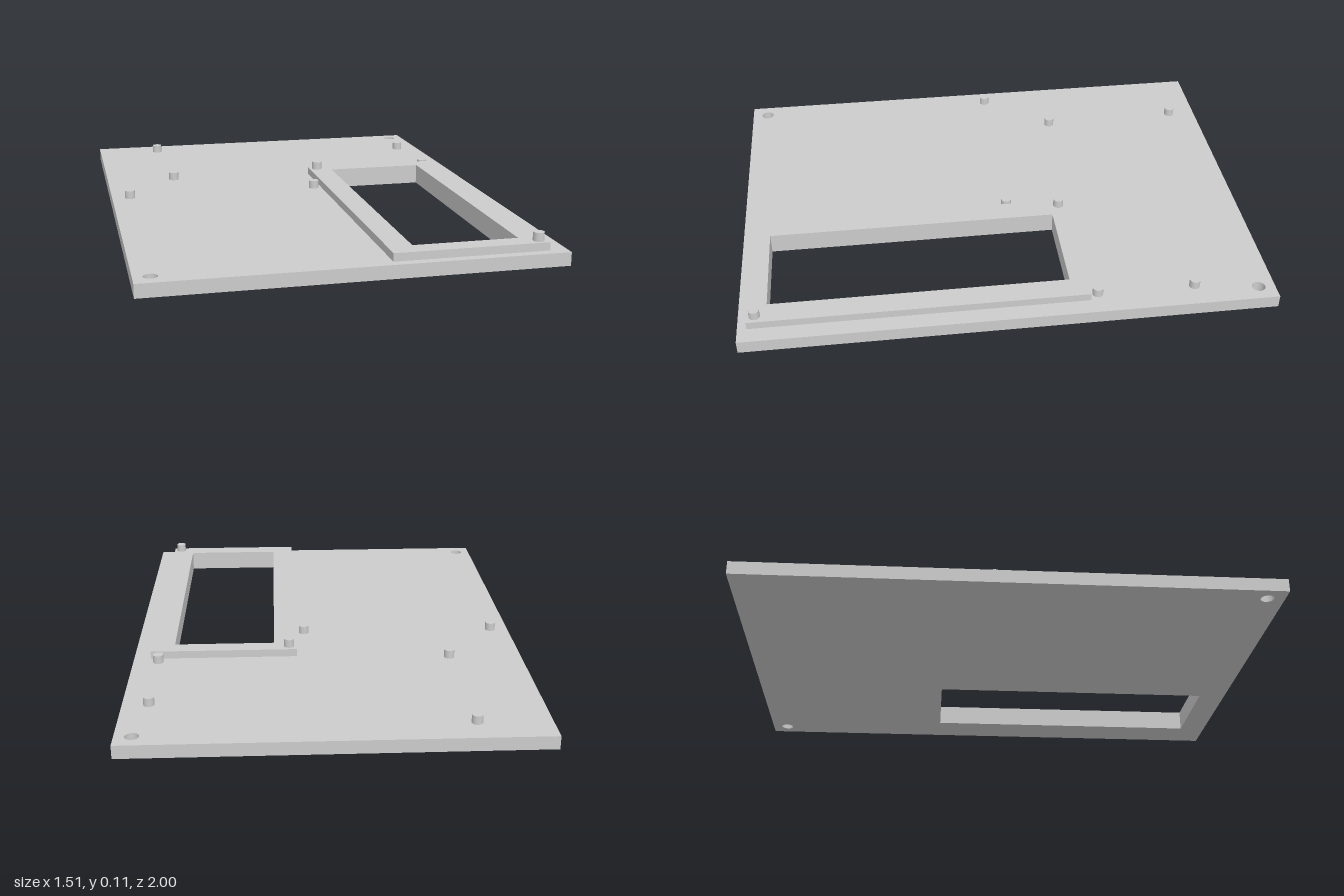
import * as THREE from 'three';

const PLATE_TOP = 0.05, FRAME_TOP = 0.08, PEG_HEIGHT = 0.032, PEG_RADIUS = 0.02;
const material = new THREE.MeshStandardMaterial({ color: 0xcccccc });

// Rectangle in plan; shape y is -z so that it lies flat after rotation
function rect(Type, x0, x1, z0, z1) {
  return new Type([[x0, -z1], [x1, -z1], [x1, -z0], [x0, -z0]].map(([x, y]) => new THREE.Vector2(x, y)));
}

function slab(name, shape, bottom, top) {
  const geometry = new THREE.ExtrudeGeometry(shape, { depth: top - bottom, bevelEnabled: false, curveSegments: 16 });
  geometry.rotateX(-Math.PI / 2);
  const mesh = new THREE.Mesh(geometry, material);
  mesh.name = name;
  mesh.position.y = bottom;
  return mesh;
}

function peg(name, x, z, base) {
  const mesh = new THREE.Mesh(new THREE.CylinderGeometry(PEG_RADIUS, PEG_RADIUS, PEG_HEIGHT, 32), material);
  mesh.name = name;
  mesh.position.set(x, base + PEG_HEIGHT / 2, z);
  return mesh;
}

export function createModel() {
  const group = new THREE.Group();
  group.name = 'mountingPanel';
  const windowHole = () => rect(THREE.Path, 0.21, 0.6, -0.23, 0.893);

  // Base plate with window and two corner screw holes
  const plate = rect(THREE.Shape, -0.755, 0.755, -1, 1);
  plate.holes.push(windowHole());
  for (const [x, z] of [[0.692, -0.937], [-0.695, 0.935]]) {
    plate.holes.push(new THREE.Path().absarc(x, -z, 0.025, 0, Math.PI * 2, true));
  }
  group.add(slab('basePlate', plate, 0, PLATE_TOP));

  // Raised frame around the window
  const frame = rect(THREE.Shape, 0.12, 0.69, -0.297, 0.966);
  frame.holes.push(windowHole());
  group.add(slab('windowFrame', frame, PLATE_TOP, FRAME_TOP));

  // Locating pegs on the plate
  [[-0.489, -0.886], [0.658, -0.698], [-0.473, -0.328], [0.658, -0.328], [-0.683, -0.058], [0.088, -0.058]]
    .forEach(([x, z], i) => group.add(peg(`platePeg${i + 1}`, x, z, PLATE_TOP)));

  // Locating pegs on opposite corners of the frame
  [[0.151, -0.263], [0.658, 0.935]]
    .forEach(([x, z], i) => group.add(peg(`framePeg${i + 1}`, x, z, FRAME_TOP)));

  return group;
}
